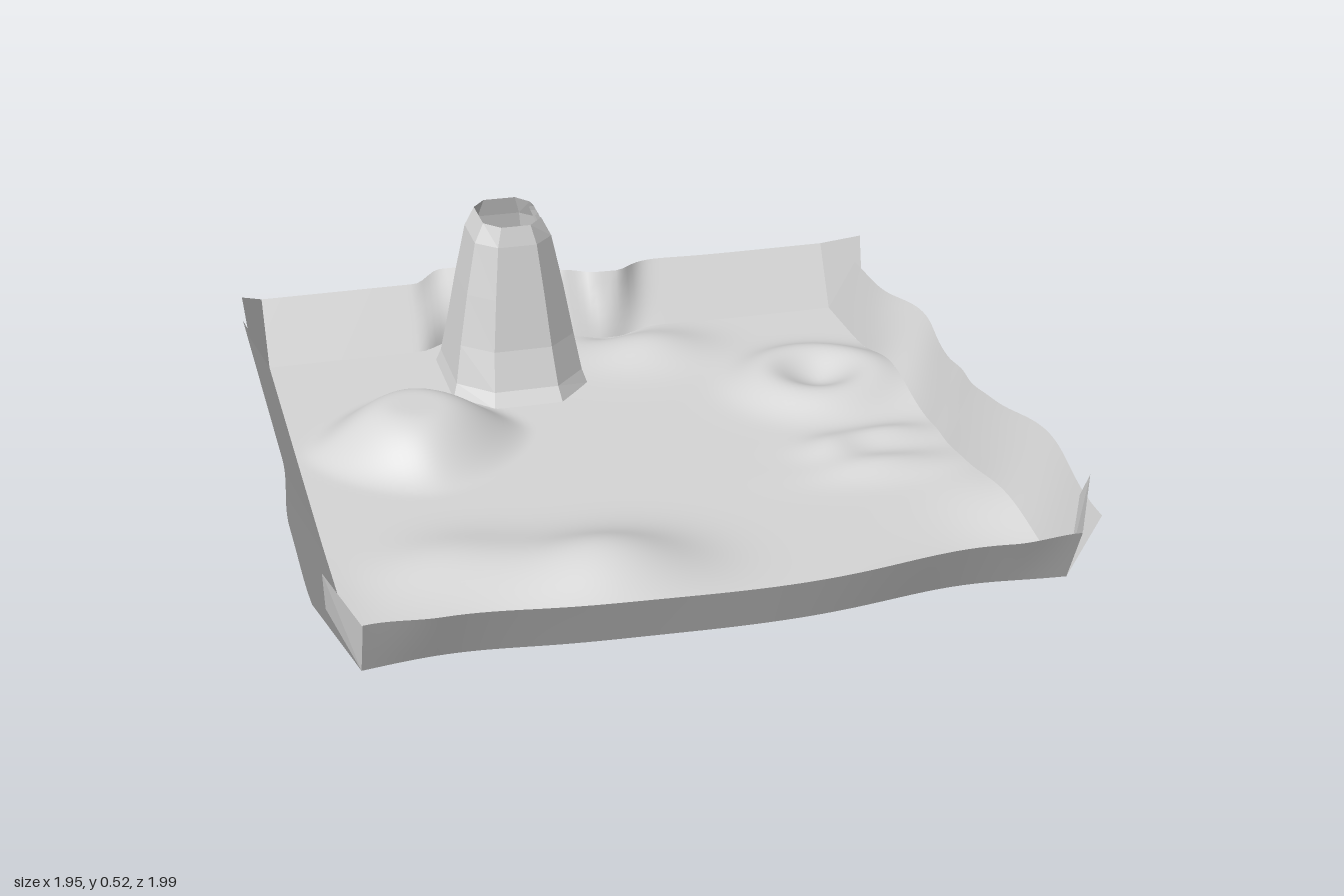
import * as THREE from 'three';

const gauss = (x, z, cx, cz, sx, sz, h) =>
  h * Math.exp(-(((x - cx) / sx) ** 2) - ((z - cz) / sz) ** 2);
const smooth = THREE.MathUtils.smoothstep;
const lerp = THREE.MathUtils.lerp;

const X = 0.88, ZB = -0.85, ZF = 0.92; // ground edges
const TX = -0.19, TZ = -0.64; // tower centre

// soft bumps and dips: centre x, z, spread x, z, height
const BUMPS = [
  [-0.23, 0.62, 0.24, 0.19, 0.1], [-0.58, 0.45, 0.18, 0.15, 0.035],
  [-0.68, 0.98, 0.3, 0.14, 0.045], [0.6, 0.98, 0.26, 0.16, 0.035],
  [0.95, 0.55, 0.16, 0.24, 0.065], [0.95, -0.24, 0.14, 0.2, 0.035],
  [0.25, -0.67, 0.17, 0.13, 0.045], [0.55, 0.1, 0.08, 0.08, 0.025],
  [0.72, 0.06, 0.14, 0.06, 0.03], [0.65, 0.23, 0.16, 0.07, 0.03],
  [0.17, -0.86, 0.09, 0.07, -0.03], [-0.95, 0.6, 0.1, 0.2, 0.015],
];

function groundY(x, z) {
  let y = 0.02;
  for (const b of BUMPS) y += gauss(x, z, ...b);
  // flat-topped mound, rounded diamond in plan
  const dx = Math.hypot(x + 0.54, 0.06), dz = Math.hypot(z + 0.25, 0.06);
  const d = 0.35 * (dx + dz) + 0.65 * Math.hypot(dx, dz);
  y += 0.12 * (1 - smooth(d, 0.12, 0.36));
  // ring-shaped crater
  const r = Math.hypot(x - 0.66, z + 0.33);
  y += 0.052 * Math.exp(-(((r - 0.15) / 0.095) ** 2));
  return Math.max(y, 0);
}

// the back edge swells outward behind the tower
const bulge = x => 1 - smooth(Math.abs(x - TX), 0.14, 0.23);

// surface from a grid of points; skip(u, v) leaves a cell open
function sheet(rows, cols, point, skip = () => false) {
  const pos = [], index = [];
  for (let j = 0; j <= rows; j++)
    for (let i = 0; i <= cols; i++) pos.push(...point(i / cols, j / rows));
  const w = cols + 1;
  for (let j = 0; j < rows; j++)
    for (let i = 0; i < cols; i++) {
      if (skip((i + 0.5) / cols, (j + 0.5) / rows)) continue;
      const a = j * w + i;
      index.push(a, a + w, a + 1, a + 1, a + w, a + w + 1);
    }
  const g = new THREE.BufferGeometry();
  g.setAttribute('position', new THREE.Float32BufferAttribute(pos, 3));
  g.setIndex(index);
  g.computeVertexNormals();
  return g;
}

export function createModel() {
  const model = new THREE.Group();
  const stone = new THREE.MeshStandardMaterial({ color: 0xd6d6d6, side: THREE.DoubleSide });
  const add = (name, geometry) => {
    const m = new THREE.Mesh(geometry, stone);
    m.name = name;
    model.add(m);
  };

  // rolling ground with an opening below the tower
  add('ground', sheet(100, 100,
    (u, v) => {
      const x = lerp(-X, X, u), z = lerp(ZB, ZF, v);
      return [x, groundY(x, z), z - 0.045 * bulge(x) * (1 - smooth(v, 0, 0.06))];
    },
    (u, v) => {
      const dx = Math.abs(lerp(-X, X, u) - TX) / 0.18, dz = Math.abs(lerp(ZB, ZF, v) - TZ) / 0.22;
      return Math.max(dx, dz, (dx + dz) / 1.5) < 1;
    }));

  // outward-leaning rims along the four edges
  const rims = {
    frontRim: (u, v) => {
      const x = lerp(-X, X, u), y = groundY(x, ZF), lift = y - 0.02;
      const end = smooth(Math.abs(x), 0.7, 0.88);
      return [x, y + v * (0.133 + 0.3 * lift + 0.02 * end), ZF + v * (0.06 + 0.3 * lift)];
    },
    backRim: (u, v) => {
      const x = lerp(X, -X, u), y = groundY(x, ZB), b = bulge(x);
      const notch = gauss(x, 0, 0.2, 0, 0.06, 1, 0.07);
      const out = lerp(v, v * v, b) * (0.1 + 0.005 * b - notch);
      return [x, y + v * (0.18 + 0.02 * b + notch * 0.4), ZB - 0.045 * b - out];
    },
    leftRim: (u, v) => {
      const z = lerp(ZF, ZB, u), y = groundY(X, z);
      return [X + v * (0.055 + 0.7 * (y - 0.02)),
        y + v * (0.178 - 0.3 * gauss(z, 0, -0.3, 0, 0.2, 1, 0.1)), z + v * 0.03 * (1 - 2 * u)];
    },
    rightRim: (u, v) => {
      const z = lerp(ZB, ZF, u), y = groundY(-X, z);
      return [-X - v * (0.07 + 0.03 * smooth(z, 0.1, 0.5)), y + v * 0.175, z + v * 0.03 * (1 - 2 * u)];
    },
  };
  for (const [name, f] of Object.entries(rims)) add(name, sheet(6, 90, f));

  // pointed flaps folded around the corners
  for (const sx of [-1, 1])
    for (const front of [true, false]) {
      const z0 = front ? ZF : ZB, s = front ? 1 : -1;
      const root = [sx * X, groundY(sx * X, z0), z0];
      const end = [sx * X, 0.2, front ? 0.985 : -0.95];
      const peak = [sx * 0.95, 0.28, z0 - s * 0.06];
      const side = [sx * 0.94, 0.15, z0 - s * 0.12];
      const g = new THREE.BufferGeometry();
      g.setAttribute('position', new THREE.Float32BufferAttribute(
        [root, end, peak, root, peak, side].flat(), 3));
      g.computeVertexNormals();
      add((front ? 'front' : 'back') + (sx > 0 ? 'Left' : 'Right') + 'CornerFlap', g);
    }

  // hollow tower: chamfered plan with grooves on its left side
  const plan = [
    [1, 0.55], [0.84, 0.38], [0.98, 0.3], [0.98, 0.05], [0.8, -0.02], [0.82, -0.25], [1, -0.3],
    [0.96, -0.6], [0.55, -1], [-0.55, -1], [-1, -0.58], [-1, 0], [-1, 0.58], [-0.5, 1], [0.5, 1],
  ];
  // y, half width, half depth
  const levels = [
    [0.02, 0.2, 0.24], [0.06, 0.187, 0.215], [0.17, 0.168, 0.18],
    [0.32, 0.142, 0.155], [0.47, 0.112, 0.13], [0.525, 0.085, 0.115],
  ];
  const n = plan.length;
  const tower = sheet(levels.length - 1, n, (u, v) => {
    const [px, pz] = plan[Math.round(u * n) % n];
    const [y, w, d] = levels[Math.round(v * (levels.length - 1))];
    return [TX + px * w, y, TZ + pz * d];
  });
  // plan order runs backwards, so flip the faces outward
  const idx = tower.index.array;
  for (let i = 0; i < idx.length; i += 3) [idx[i], idx[i + 1]] = [idx[i + 1], idx[i]];
  const faceted = tower.toNonIndexed();
  faceted.computeVertexNormals();
  add('tower', faceted);

  return model;
}
